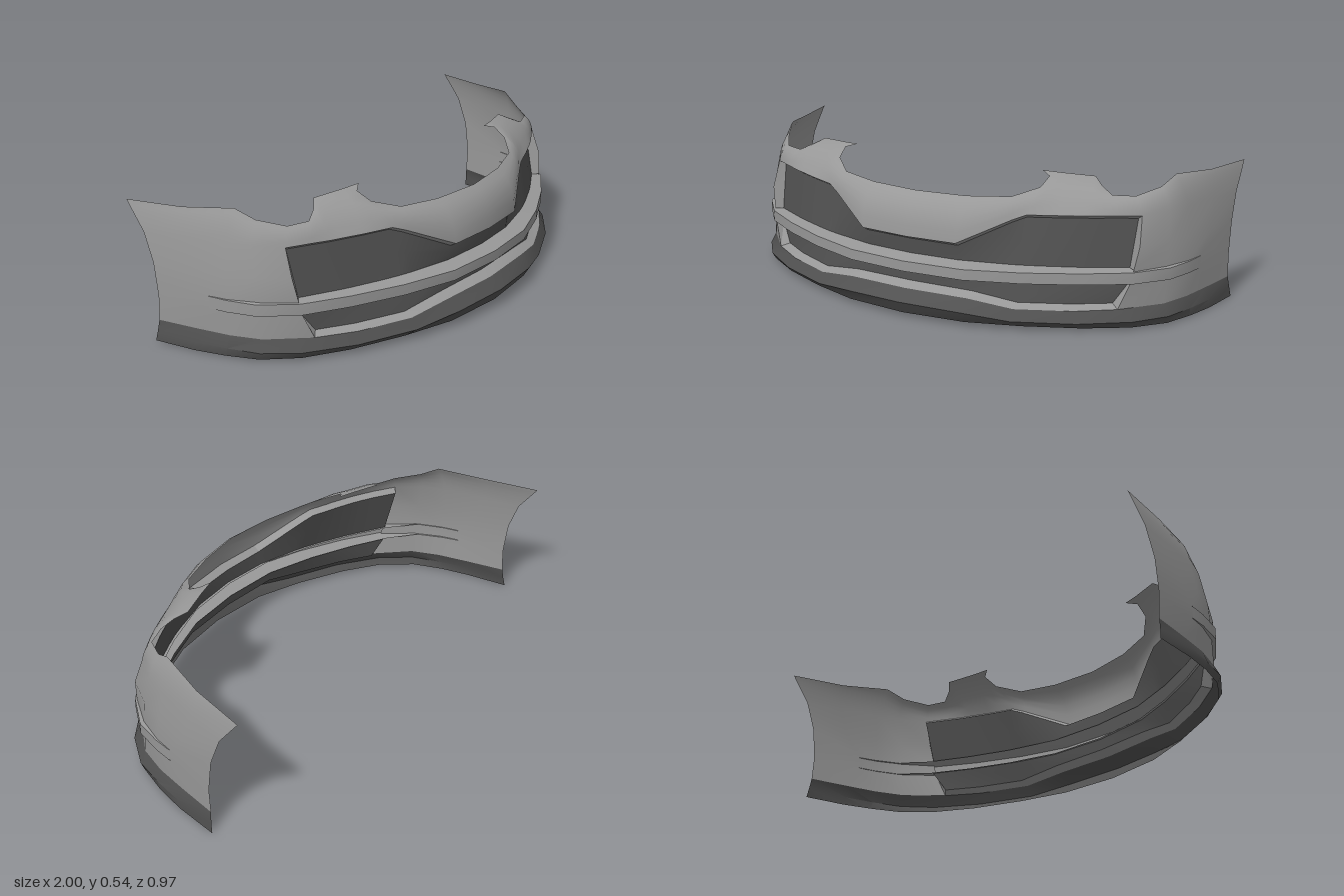
import * as THREE from 'three';
import { mergeGeometries, mergeVertices, toCreasedNormals } from 'three/addons/utils/BufferGeometryUtils.js';

const shell = new THREE.MeshStandardMaterial({ color: 0x989898, side: THREE.DoubleSide });
const dark = new THREE.MeshStandardMaterial({ color: 0x505050, side: THREE.DoubleSide });

// Rails are given for the left half (x >= 0), from the centre outwards.
const flip = ([x, y, z]) => [-x, y, z];
const whole = rail => [...rail.slice(1).reverse().map(flip), ...rail];

// Skin a list of rails (top to bottom), all with the same number of points
function skin(rails) {
  const n = rails[0].length, index = [];
  for (let i = 0; i < rails.length - 1; i++) {
    for (let j = 0; j < n - 1; j++) {
      const a = i * n + j, c = a + n;
      index.push(a, c, a + 1, a + 1, c, c + 1);
    }
  }
  const geo = new THREE.BufferGeometry();
  geo.setAttribute('position', new THREE.Float32BufferAttribute(rails.flat(2), 3));
  geo.setIndex(index);
  return geo;
}
const across = rails => skin(rails.map(whole));
const bothSides = rails => [skin(rails), skin(rails.map(r => r.map(flip).reverse()))];

function part(name, geos, material = shell, crease = 0.5) {
  const geo = toCreasedNormals(mergeVertices(mergeGeometries(geos), 1e-4), crease);
  const mesh = new THREE.Mesh(geo, material);
  mesh.name = name;
  return mesh;
}

// Point on a rail at a given x
function at(rail, x) {
  let i = 1;
  while (i < rail.length - 1 && rail[i][0] < x) i++;
  const a = rail[i - 1], b = rail[i];
  const t = THREE.MathUtils.clamp((x - a[0]) / (b[0] - a[0]), 0, 1);
  return a.map((v, k) => v + (b[k] - v) * t);
}

// Upper outline with headlight cut-outs
const topEdge = [
  [0, .47, .35], [.2, .47, .325], [.36, .477, .275], [.44, .505, .2], [.45, .535, .145],
  [.48, .543, .103], [.6, .537, .067], [.64, .515, .1], [.69, .49, .12], [.77, .49, .09],
  [.832, .512, 0], [.862, .548, -.07], [.93, .53, -.26], [.985, .525, -.48],
];
// Upper rim of the main intake
const intakeRim = [
  [0, .31, .425], [.2, .31, .41], [.38, .4, .315], [.43, .421, .29], [.5, .422, .262],
  [.54, .423, .247], [.62, .425, .212], [.66, .425, .193], [.72, .426, .16], [.805, .425, .11],
];
// Side wing rows, from the intake back to the wheel arch
const wing = [
  [[.805, .425, .11], [.875, .43, .01], [.91, .43, -.08], [.955, .425, -.25], [.987, .42, -.4]],
  [[.815, .32, .145], [.885, .32, .035], [.925, .32, -.07], [.96, .31, -.2], [.988, .31, -.36]],
  [[.8, .232, .158], [.885, .23, .045], [.93, .228, -.06], [.947, .227, -.13], [.988, .227, -.35]],
  [[.79, .178, .165], [.885, .18, .045], [.93, .18, -.06], [.947, .18, -.13], [.988, .18, -.345]],
  [[.755, .083, .19], [.88, .085, .055], [.925, .085, -.06], [.955, .085, -.19], [.988, .085, -.35]],
];

// Splitter lip rails
const lipUpper = [
  [0, .11, .435], [.25, .108, .415], [.42, .082, .37], [.62, .08, .278], ...wing[4],
];
const lipTip = [
  [0, .07, .485], [.24, .065, .46], [.42, .042, .397], [.64, .04, .297], [.81, .04, .178],
  [.903, .04, .06], [.943, .04, -.06], [.973, .04, -.18], [.995, .04, -.355],
];
const lipBottom = [
  [0, .02, .455], [.25, .02, .43], [.45, .018, .36], [.65, .015, .265], [.8, .013, .165],
  [.895, .01, .05], [.942, .008, -.07], [.973, .005, -.19], [1, .003, -.362],
];
const lipBack = [[0, .127, .39], [.25, .125, .375], [.42, .097, .335], [.6, .095, .248], [.725, .095, .167]];

// Cross beam: inner plan lies on the grilles, outer plan stands proud
const beamInner = [[0, .39], [.24, .37], [.45, .3], [.62, .222], [.775, .135], [.885, .044], [.928, -.06], [.946, -.13]];
const beamOuter = [[0, .452], [.24, .432], [.45, .36], [.64, .267], [.8, .168], [.9, .05], [.936, -.06], [.949, -.13]];
const level = (plan, y, yEnd) => plan.map(([x, z], i) => [x, y + (yEnd - y) * i / 7, z]);
const beamRails = [
  level(beamInner, .236, .227), level(beamOuter, .222, .227),
  level(beamOuter, .182, .18), level(beamInner, .174, .18),
];
const tuck = rail => rail.map(([x, y, z]) => [x, y, z - .012]);

export function createModel() {
  const model = new THREE.Group();
  model.name = 'frontBumper';

  // Nose and wings, rounded over between outline and rim
  const rim = [...intakeRim, ...wing[0].slice(1)];
  const arcs = topEdge.map((t, i) => {
    const a = new THREE.Vector3(...t), b = new THREE.Vector3(...rim[i]);
    const m = a.clone().lerp(b, .4);
    const out = new THREE.Vector3(m.x * .6, .35, m.z + .3).normalize();
    m.addScaledVector(out, .26 * a.distanceTo(b) * Math.min(1, (1 - m.x) * 4));
    return new THREE.QuadraticBezierCurve3(a, m, b);
  });
  const nose = [0, .2, .4, .6, .8, 1].map(t => arcs.map(c => c.getPoint(t).toArray()));
  const hook = [[[.45, .535, .145], [.41, .547, .12]], [[.45, .535, .145], [.48, .543, .103]]];
  model.add(part('bodyShell', [across(nose), ...bothSides(wing), ...bothSides(hook)], shell, 1.2));

  // Main intake: recessed grille and the wall around it
  const grilleTop = intakeRim.map(([x, y, z]) => [x * .975, y - .016, z - .033 + .02 * x]);
  const grilleBottom = grilleTop.map(p => at(beamRails[0], Math.min(p[0], .775)));
  grilleBottom[grilleBottom.length - 1] = beamRails[0][4];
  const grilleMid = grilleTop.map((p, i) => p.map((v, k) => (v + grilleBottom[i][k]) / 2));
  model.add(part('upperGrille', [across([grilleTop, grilleMid, grilleBottom])], dark));
  model.add(part('upperIntakeWall', [
    across([intakeRim, grilleTop]),
    ...bothSides([
      [grilleTop.at(-1), wing[0][0]], [grilleMid.at(-1), wing[1][0]], [beamRails[0][4], wing[2][0]],
    ]),
  ]));

  // Lower intake
  const lowTop = lipBack.map(p => at(beamRails[3], p[0]));
  lowTop[4] = beamRails[3][4];
  model.add(part('lowerGrille', [across([lowTop, lipBack])], dark));
  model.add(part('lowerIntakeWall', [
    across([lipBack, lipUpper.slice(0, 5)]),
    ...bothSides([[lowTop[4], wing[3][0]], [lipBack[4], wing[4][0]]]),
  ]));

  // Beam, its inner edges tucked behind the grilles, and the splitter
  model.add(part('crossBeam', [
    across([tuck(beamRails[0]), beamRails[1], beamRails[2], tuck(beamRails[3])]),
  ]));
  model.add(part('splitterLip', [across([lipUpper, lipTip, lipBottom])], dark));
  return model;
}
